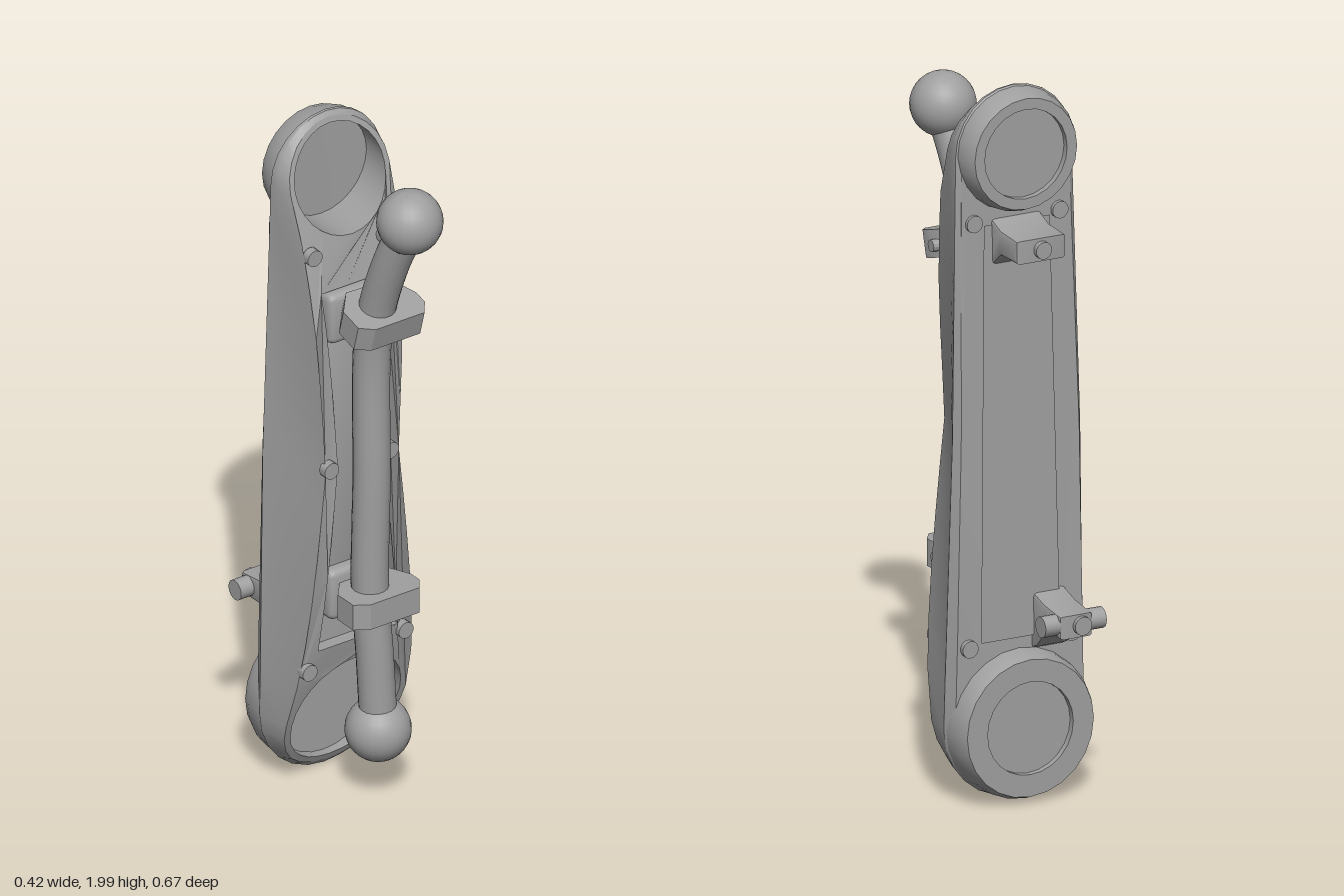
import * as THREE from 'three';
import { toCreasedNormals } from 'three/addons/utils/BufferGeometryUtils.js';
import { RoundedBoxGeometry } from 'three/addons/geometries/RoundedBoxGeometry.js';

const TOP = 1.82, LOW = 0.22, MID = 1.03;

// piecewise-linear lookup through [y, value] pairs
const lookup = (pairs) => (y) => {
  if (y <= pairs[0][0]) return pairs[0][1];
  for (let i = 1; i < pairs.length; i++) {
    const [a, va] = pairs[i - 1], [b, vb] = pairs[i];
    if (y <= b) return va + (vb - va) * (y - a) / (b - a);
  }
  return pairs[pairs.length - 1][1];
};
const frontZ = lookup([[0.01, -0.135], [0.1, -0.09], [0.2, -0.05], [0.4, 0.01], [0.6, 0.035], [0.8, 0.05],
  [1.03, 0.058], [1.25, 0.047], [1.43, 0.03], [1.66, -0.01], [1.8, -0.065], [1.9, -0.095], [2, -0.13]]);
const creaseZ = lookup([[0.01, -0.14], [0.42, -0.12], [MID, -0.04], [1.66, -0.1], [2, -0.135]]);
const wideZ = (y) => -0.142;
const backZ = lookup([[0.42, -0.175], [1.65, -0.152]]);
const bump = (y) => Math.max(0, 1 - Math.abs(y - MID) / 0.75);

// tapered capsule outline, pinched and shifted at mid height
function outline(rTop, rLow, pinch, shift, zOf) {
  const pts = [], cap = 12, side = 12;
  const add = (x, y, s) => pts.push(new THREE.Vector3(x - s * pinch * bump(y) - shift * bump(y), y, zOf(y)));
  for (let i = 0; i <= cap; i++) {
    const a = Math.PI * i / cap;
    add(rTop * Math.cos(a), TOP + rTop * Math.sin(a), 0);
  }
  for (let i = 1; i < side; i++) {
    const t = i / side;
    add(-(rTop + (rLow - rTop) * t), TOP + (LOW - TOP) * t, -1);
  }
  for (let i = 0; i <= cap; i++) {
    const a = Math.PI * (1 + i / cap);
    add(rLow * Math.cos(a), LOW + rLow * Math.sin(a), 0);
  }
  for (let i = 1; i < side; i++) {
    const t = i / side;
    add(rLow + (rTop - rLow) * t, LOW + (TOP - LOW) * t, 1);
  }
  return pts;
}

// skin between successive closed loops
function skin(loops) {
  const n = loops[0].length, index = [];
  for (let k = 0; k < loops.length - 1; k++)
    for (let i = 0; i < n; i++) {
      const a = k * n + i, b = k * n + (i + 1) % n;
      index.push(a, b, b + n, a, b + n, a + n);
    }
  const g = new THREE.BufferGeometry().setFromPoints(loops.flat());
  g.setIndex(index);
  return g;
}

// flat shape with holes, bent in z by a rule
function sheet(outer, holes, zOf) {
  const s = new THREE.Shape(outer.map((p) => new THREE.Vector2(p.x, p.y)));
  s.holes = holes.map((h) => new THREE.Path(h.map((p) => new THREE.Vector2(p.x, p.y))));
  const g = new THREE.ShapeGeometry(s), pos = g.attributes.position;
  for (let i = 0; i < pos.count; i++) pos.setZ(i, zOf(pos.getY(i)));
  g.deleteAttribute('uv');
  return g;
}

const circle = (y, r, n = 28) => Array.from({ length: n }, (_, i) => {
  const a = i / n * Math.PI * 2;
  return new THREE.Vector3(r * Math.cos(a), y + r * Math.sin(a), frontZ(y + r * Math.sin(a)));
});

// polygon with subdivided edges
function subdivided(corners, n) {
  return corners.flatMap(([x, y], k) => {
    const [u, v] = corners[(k + 1) % corners.length];
    return Array.from({ length: n }, (_, i) => {
      const yy = y + (v - y) * i / n;
      return new THREE.Vector3(x + (u - x) * i / n, yy, frontZ(yy));
    });
  });
}

export function createModel() {
  const group = new THREE.Group();
  const grey = new THREE.MeshStandardMaterial({ color: 0xa0a0a0, side: THREE.DoubleSide });
  grey.name = 'plainGrey';
  const add = (name, geo, x = 0, y = 0, z = 0, crease = 0.5) => {
    geo.computeVertexNormals();
    const m = new THREE.Mesh(toCreasedNormals(geo, crease), grey);
    m.name = name;
    m.position.set(x, y, z);
    group.add(m);
    return m;
  };

  // shell walls
  const back = outline(0.163, 0.195, 0, 0.008, backZ);
  const front = outline(0.162, 0.196, 0.06, 0.02, frontZ);
  add('shell', skin([back, outline(0.176, 0.212, 0, 0.008, wideZ),
    outline(0.175, 0.211, 0.045, 0.014, creaseZ), front]), 0, 0, 0, 0.35);
  add('shellBack', sheet(back, [], backZ));

  // front face with its end sockets and channel
  const sockets = [[TOP, 0.146, -0.17], [LOW, 0.176, -0.145]];
  const channel = subdivided([[-0.12, 1.54], [-0.1, MID], [-0.135, 0.46], [0.125, 0.46], [0.045, MID], [0.085, 1.54]], 5);
  add('frontFace', sheet(front, [...sockets.map(([y, r]) => circle(y, r)), channel], frontZ), 0, 0, 0, 0.35);
  const floorZ = lookup([[0.46, -0.02], [0.62, -0.025], [1.54, -0.03]]);
  add('channelWall', skin([channel, channel.map((p) => new THREE.Vector3(p.x, p.y, floorZ(p.y)))]));
  add('channelFloor', sheet(channel, [], floorZ));
  for (const [y, r, z] of sockets) {
    const rim = circle(y, r);
    add('socketWall', skin([rim, rim.map((p) => new THREE.Vector3(p.x, p.y, z))]), 0, 0, 0, 0.6);
    add('socketFloor', new THREE.CircleGeometry(r, 28), 0, y, z);
  }

  // rear hubs with recessed discs
  for (const [y, inner, outer, depth] of [[TOP, 0.125, 0.167, 0.21], [LOW, 0.13, 0.204, 0.235]]) {
    const profile = [[0, depth - 0.018], [inner, depth - 0.018], [inner, depth], [outer - 0.012, depth],
      [outer, depth - 0.03], [outer + 0.005, 0.143]].map(([r, h]) => new THREE.Vector2(r, h));
    add('rearHub', new THREE.LatheGeometry(profile, 24).rotateX(-Math.PI / 2), 0, y, 0);
  }

  // rear cover plate
  add('rearCover', sheet([[-0.12, 0.46], [0.12, 0.46], [0.1, 1.62], [-0.1, 1.62]].map(([x, y]) => ({ x, y })), [],
    (y) => backZ(y) - 0.007));

  // bolts
  const bolt = (x, y, z, r = 0.024, len = 0.025) =>
    add('bolt', new THREE.CylinderGeometry(r, r, len, 14).rotateX(Math.PI / 2), x, y, z);
  for (const [x, y] of [[-0.135, 1.65], [0.103, 1.64], [-0.165, 0.405], [0.147, 0.435], [-0.128, MID], [0.068, MID]])
    bolt(x, y, frontZ(y));
  for (const s of [-1, 1]) {
    bolt(s * 0.13, 1.63, backZ(1.63));
    bolt(s * 0.155, 0.45, backZ(0.45));
  }

  // handle bar and end balls
  const path = new THREE.CatmullRomCurve3([[0, 1.83, 0.25], [-0.015, 1.68, 0.182], [-0.02, 1.5, 0.12], [-0.02, 1.35, 0.1],
    [-0.02, 1.0, 0.1], [-0.02, 0.65, 0.093], [-0.01, 0.45, 0.1], [0, 0.22, 0.105]].map((p) => new THREE.Vector3(...p)));
  add('bar', new THREE.TubeGeometry(path, 48, 0.051, 18), 0, 0, 0, 1);
  add('upperBall', new THREE.SphereGeometry(0.09, 24, 16), 0, 1.83, 0.246, 1);
  add('lowerBall', new THREE.SphereGeometry(0.09, 24, 16), 0, 0.22, 0.102, 1);

  // clamps and their mounting pads
  const clampShape = new THREE.Shape([[-0.07, -0.08], [-0.12, -0.02], [-0.12, 0.05], [-0.08, 0.075], [0.08, 0.075],
    [0.105, 0.04], [0.105, 0], [0.07, -0.075]].map((p) => new THREE.Vector2(...p)));
  for (const [y, z, tilt] of [[1.49, 0.12, 0.27], [0.62, 0.105, 0]]) {
    const g = new THREE.ExtrudeGeometry(clampShape, { depth: 0.076, bevelEnabled: false });
    add('clamp', g.translate(0, 0, -0.038).rotateX(Math.PI / 2), 0, y, z).rotation.x = tilt;
    add('clampBolt', new THREE.CylinderGeometry(0.017, 0.017, 0.04, 12).rotateZ(Math.PI / 2), 0.095, y, z - 0.015);
    add('clampPad', new RoundedBoxGeometry(0.19, 0.15, 0.07, 2, 0.02), -0.012, y - (tilt ? 0.03 : 0), 0.0);
  }
  add('channelSpine', new RoundedBoxGeometry(0.13, 0.82, 0.03, 2, 0.01), -0.035, MID - 0.01, -0.015);

  // rear brackets, profiles given as [depth behind, height]
  const bracket = (name, profile, width, x) => {
    const s = new THREE.Shape(profile.map((p) => new THREE.Vector2(...p)));
    const g = new THREE.ExtrudeGeometry(s, { depth: width - 0.02, bevelSize: 0.01, bevelThickness: 0.01, bevelSegments: 2 });
    add(name, g.translate(0, 0, 0.01 - width / 2).rotateY(Math.PI / 2), x, 0, 0);
  };
  bracket('upperBracket', [[0.14, 1.5], [0.17, 1.53], [0.2, 1.555], [0.285, 1.555], [0.285, 1.6], [0.2, 1.605], [0.14, 1.63]], 0.15, 0);
  bracket('lowerBracket', [[0.15, 0.42], [0.19, 0.44], [0.24, 0.495], [0.315, 0.495], [0.315, 0.54], [0.23, 0.55], [0.15, 0.575]], 0.1, -0.09);
  add('upperBracketBolt', new THREE.CylinderGeometry(0.024, 0.024, 0.02, 14).rotateX(Math.PI / 2), 0, 1.578, -0.3);
  add('lowerBracketPin', new THREE.CylinderGeometry(0.029, 0.029, 0.185, 16).rotateZ(Math.PI / 2), -0.09, 0.52, -0.295);
  add('lowerBracketBolt', new THREE.CylinderGeometry(0.026, 0.026, 0.02, 14).rotateX(Math.PI / 2), -0.105, 0.518, -0.327);

  // centre the depth range
  return group;
}
